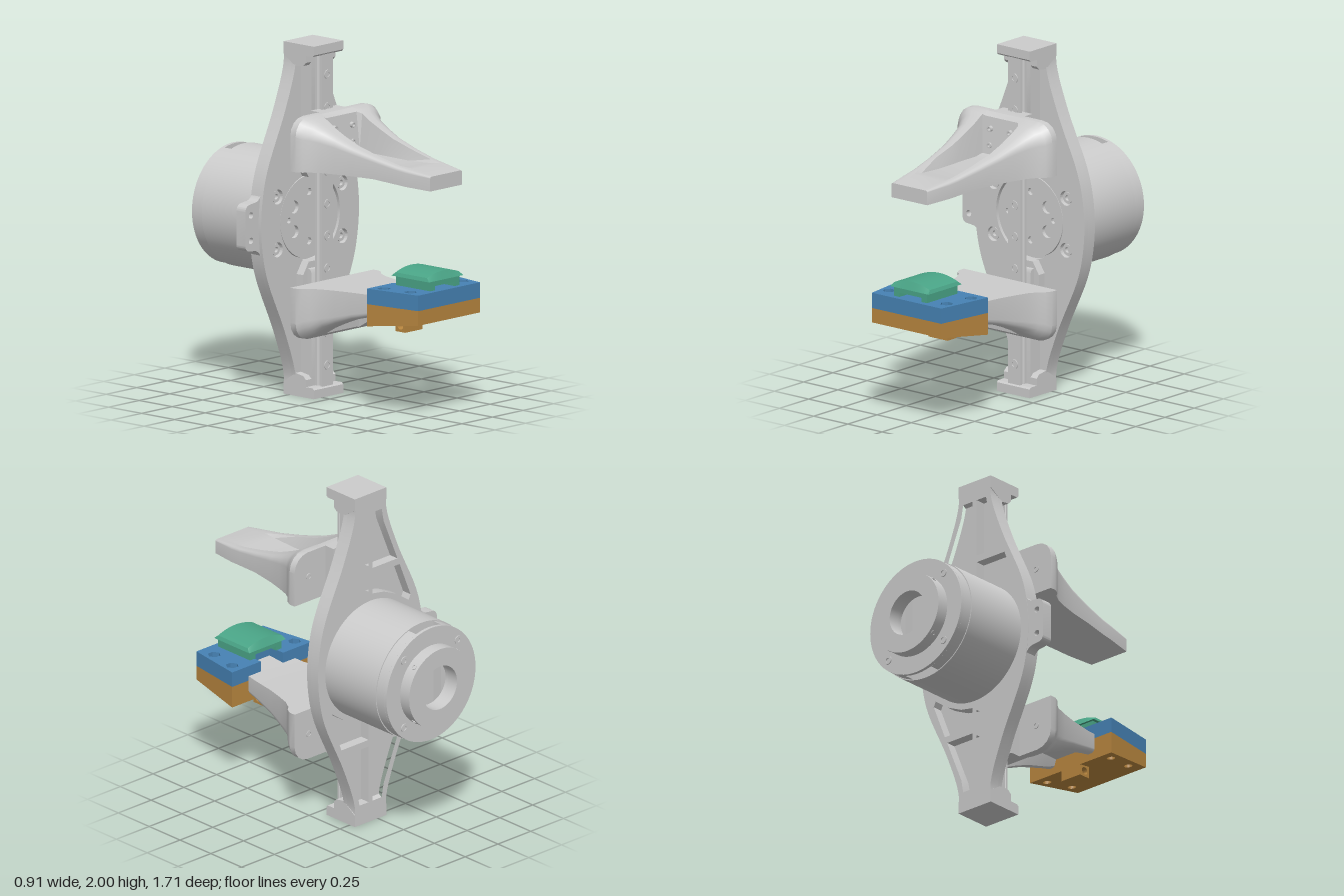
import * as THREE from 'three';
import { toCreasedNormals } from 'three/addons/utils/BufferGeometryUtils.js';

const grey = new THREE.MeshStandardMaterial({ color: 0xcccccc });
const blue = new THREE.MeshStandardMaterial({ color: 0x4682b4 });
const orange = new THREE.MeshStandardMaterial({ color: 0xb8863f });
const green = new THREE.MeshStandardMaterial({ color: 0x4aa587 });

function add(parent, name, geo, mat = grey) {
  const g = geo.index ? geo.toNonIndexed() : geo;
  const mesh = new THREE.Mesh(toCreasedNormals(g, 0.5), mat);
  mesh.name = name;
  parent.add(mesh);
  return mesh;
}
const poly = (pts) => new THREE.Shape(pts.map(([x, y]) => new THREE.Vector2(x, y)));
function disc(r, x = 0, y = 0, hole = 0) {
  const s = new THREE.Shape().absarc(x, y, r, 0, Math.PI * 2);
  if (hole) s.holes.push(new THREE.Path().absarc(x, y, hole, 0, Math.PI * 2));
  return s;
}
const extrude = (shape, depth, seg = 12) =>
  new THREE.ExtrudeGeometry(shape, { depth, bevelEnabled: false, curveSegments: seg });
// slab between two z planes
const slab = (shape, z0, z1, seg) => extrude(shape, z1 - z0, seg).translate(0, 0, z0);
// (z, y) profile swept across x, centred
const sweepX = (pts, w) => extrude(poly(pts), w).rotateY(-Math.PI / 2).translate(w / 2, 0, 0);
// (x, z) plan extruded between two heights
const slabY = (shape, y0, y1) => extrude(shape, y1 - y0).rotateX(Math.PI / 2).translate(0, y1, 0);
const box = (x0, x1, y0, y1, z0, z1) => new THREE.BoxGeometry(x1 - x0, y1 - y0, z1 - z0)
  .translate((x0 + x1) / 2, (y0 + y1) / 2, (z0 + z1) / 2);

// Diamond-shaped outline of the back plate
function plateOutline() {
  const half = [[0.12, 1], [0.12, 0.88], [0.2, 0.64], [0.345, 0.32], [0.383, 0.18], [0.4, 0]];
  const pts = [...half, ...half.slice(0, -1).reverse().map(([x, y]) => [x, -y])];
  const right = new THREE.CatmullRomCurve3(pts.map(([x, y]) => new THREE.Vector3(x, y, 0)), false, 'centripetal')
    .getPoints(60).map((p) => [p.x, p.y]);
  return poly([...right, ...right.map(([x, y]) => [-x, y]).reverse()]);
}

function buildPlate(body) {
  const skin = plateOutline();
  skin.holes.push(disc(0.245));
  for (const x of [-0.265, 0.265]) for (const y of [-0.15, 0.15]) {
    skin.holes.push(disc(0.042, x, y));
    add(body, 'plateBolt', slab(disc(0.032, x, y, 0.016), -0.24, -0.212));
  }
  add(body, 'plateFront', slab(skin, -0.23, -0.2, 32));

  // Ribbed rear with pockets
  const ribs = plateOutline();
  const cells = [
    [[0.015, 0.88], [0.085, 0.88], [0.1, 0.8], [0.165, 0.64], [0.205, 0.54], [0.015, 0.54]],
    [[0.015, 0.5], [0.222, 0.5], [0.305, 0.29], [0.29, 0.26], [0.2, 0.325], [0.1, 0.37], [0.015, 0.385]],
  ];
  for (const cell of cells) for (const sx of [-1, 1]) for (const sy of [-1, 1])
    ribs.holes.push(poly(cell.map(([x, y]) => [x * sx, y * sy])));
  add(body, 'plateRibs', slab(ribs, -0.29, -0.23));

  // Rotor face seen through the plate opening
  const rotor = disc(0.235);
  for (let i = 0; i < 6; i++) {
    const a = (i + 0.5) * Math.PI / 3;
    rotor.holes.push(disc(i % 3 === 1 ? 0.02 : 0.036, 0.14 * Math.cos(a), 0.14 * Math.sin(a)));
  }
  for (const x of [-0.165, 0.165]) rotor.holes.push(disc(0.016, x, 0));
  add(body, 'rotorFace', slab(rotor, -0.23, -0.208, 32));

  // Side ear
  const ear = new THREE.Shape();
  ear.moveTo(-0.3, 0.26);
  ear.lineTo(-0.37, 0.2);
  ear.quadraticCurveTo(-0.39, 0.14, -0.43, 0.14);
  ear.lineTo(-0.47, 0.135);
  ear.quadraticCurveTo(-0.508, 0.13, -0.508, 0.09);
  ear.lineTo(-0.508, -0.09);
  ear.quadraticCurveTo(-0.508, -0.13, -0.47, -0.13);
  ear.lineTo(-0.43, -0.135);
  ear.quadraticCurveTo(-0.39, -0.14, -0.37, -0.2);
  ear.lineTo(-0.3, -0.26);
  for (const y of [-0.072, 0.072]) ear.holes.push(disc(0.018, -0.462, y));
  add(body, 'sideEar', slab(ear, -0.288, -0.22));
}

function buildMotor(body) {
  add(body, 'motorHousing', slab(disc(0.346), -0.7, -0.285, 36));
  // Cap layer split by a vertical slot
  const a = Math.acos(0.095 / 0.34);
  for (const c of [0, Math.PI])
    add(body, 'motorCapHalf', slab(new THREE.Shape().absarc(0, 0, 0.34, c - a, c + a), -0.76, -0.7, 36));
  add(body, 'motorCap', slab(disc(0.34, 0, 0, 0.13), -0.78, -0.76, 36));
  add(body, 'rearCollar', slab(disc(0.235, 0, 0, 0.13), -0.853, -0.78, 32));
  for (let i = 0; i < 4; i++) {
    const t = Math.PI / 4 + i * Math.PI / 2, c = Math.cos(t), s = Math.sin(t);
    add(body, 'capScrew', slab(disc(0.025, 0.29 * c, 0.29 * s, 0.013), -0.786, -0.775));
    add(body, 'collarScrew', slab(disc(0.017, 0, 0, 0.009), 0.22, 0.238).rotateY(Math.PI / 2)
      .rotateZ(t).translate(0, 0, -0.82));
  }
}

// Finger lofted from U-shaped sections: z, half width, top, bottom, corner, pocket half width, floor
function fingerGeometry() {
  const stations = [
    [-0.035, 0.34, 0.63, 0.33, 0.1, 0.14, 0.63], [0.005, 0.34, 0.63, 0.33, 0.1, 0.14, 0.63],
    [0.04, 0.322, 0.615, 0.33, 0.1, 0.14, 0.61], [0.065, 0.293, 0.6, 0.33, 0.09, 0.14, 0.4],
    [0.12, 0.26, 0.567, 0.33, 0.07, 0.14, 0.39], [0.2, 0.235, 0.53, 0.33, 0.05, 0.14, 0.39],
    [0.3, 0.21, 0.49, 0.33, 0.035, 0.137, 0.39], [0.45, 0.185, 0.45, 0.33, 0.025, 0.132, 0.39],
    [0.6, 0.165, 0.418, 0.318, 0.02, 0.125, 0.4], [0.67, 0.158, 0.408, 0.313, 0.018, 0.12, 0.408],
    [0.83, 0.13, 0.388, 0.305, 0.01, 0.1, 0.388],
  ];
  const pos = [], idx = [];
  let n = 0;
  for (const [z, w, t, b, c, p, f] of stations) {
    const right = [[w, b]];
    for (let k = 0; k <= 4; k++) {
      const a = k * Math.PI / 8;
      right.push([w - c + c * Math.cos(a), t - c + c * Math.sin(a)]);
    }
    right.push([p, t], [p - 0.02, f]);
    const ring = [...right, ...right.map(([x, y]) => [-x, y]).reverse()];
    n = ring.length;
    for (const [x, y] of ring) pos.push(x, y, z);
  }
  const last = (stations.length - 1) * n;
  for (let i = 0; i < last; i += n) for (let j = 0; j < n; j++) {
    const a = i + j, b = i + (j + 1) % n;
    idx.push(a, b, a + n, b, b + n, a + n);
  }
  for (let j = 1; j < n - 1; j++) idx.push(0, j + 1, j, last, last + j, last + j + 1);
  const g = new THREE.BufferGeometry();
  g.setAttribute('position', new THREE.Float32BufferAttribute(pos, 3));
  g.setIndex(idx);
  return g;
}

// Everything repeated above and below the motor axis
function buildHalf() {
  const half = new THREE.Group();
  add(half, 'endBlock', sweepX([[-0.29, 0.93], [-0.2, 0.87], [-0.14, 0.88], [-0.12, 0.9], [-0.12, 0.94],
    [-0.07, 0.94], [-0.06, 0.95], [-0.06, 1], [-0.29, 1]], 0.24));
  add(half, 'railSupport', sweepX([[-0.21, 0.27], [-0.13, 0.28], [-0.12, 0.3], [-0.12, 0.9], [-0.21, 0.9]], 0.15));
  add(half, 'supportFoot', slab(poly([[-0.11, 0.38], [-0.11, 0.31], [-0.065, 0.24], [0.065, 0.24],
    [0.11, 0.31], [0.11, 0.38]]), -0.21, -0.15));
  add(half, 'carriage', box(-0.105, 0.105, 0.36, 0.63, -0.1, -0.03));
  add(half, 'finger', fingerGeometry());
  for (const x of [-0.072, 0.072]) for (const y of [0.45, 0.545])
    add(half, 'fingerScrew', slab(disc(0.016, x, y, 0.009), 0.035, 0.066));
  for (const x of [-0.23, 0.23])
    add(half, 'backScrew', slab(disc(0.02, x, 0.48, 0.011), -0.039, -0.03));
  return half;
}

function buildFingertipPad(body) {
  const bolts = [[-0.238, 0.58], [0.238, 0.58], [-0.21, 0.755], [0.21, 0.755]];
  const notched = poly([[-0.303, 0.51], [-0.085, 0.51], [-0.085, 0.62], [0.085, 0.62], [0.085, 0.51],
    [0.303, 0.51], [0.253, 0.853], [-0.253, 0.853]]);
  const plain = poly([[-0.303, 0.51], [0.303, 0.51], [0.253, 0.853], [-0.253, 0.853]]);
  for (const [x, z] of bolts) {
    notched.holes.push(poly([0, 1, 2, 3, 4, 5].map((i) =>
      [x + 0.037 * Math.cos(i * Math.PI / 3), z + 0.037 * Math.sin(i * Math.PI / 3)])));
    plain.holes.push(disc(0.024, x, z));
  }
  add(body, 'upperClamp', slabY(notched, -0.352, -0.264), blue);
  // Lower clamp with a sloping underside
  const lower = slabY(plain, -0.47, -0.352), p = lower.attributes.position;
  for (let i = 0; i < p.count; i++)
    if (p.getY(i) < -0.4) p.setY(i, -0.478 + (p.getZ(i) - 0.51) * 0.125);
  add(body, 'lowerClamp', lower, orange);
  const tab = poly([[0.51, -0.54], [0.585, -0.54], [0.585, -0.455], [0.51, -0.455]]);
  tab.holes.push(disc(0.022, 0.548, -0.505));
  add(body, 'clampTab', extrude(tab, 0.14).rotateY(-Math.PI / 2).translate(0.07, 0, 0), orange);

  // Sensor pad: two legs, a tray and a domed cap
  for (const s of [-1, 1])
    add(body, 'padLeg', box(s * 0.1 - 0.02, s * 0.1 + 0.02, -0.266, -0.24, 0.56, 0.82), green);
  add(body, 'padTray', box(-0.12, 0.12, -0.24, -0.205, 0.56, 0.82), green);
  const cap = new THREE.BoxGeometry(0.28, 0.045, 0.285, 16, 1, 4), q = cap.attributes.position;
  for (let i = 0; i < q.count; i++) if (q.getY(i) > 0) {
    const u = q.getX(i) / 0.14;
    q.setXYZ(i, q.getX(i) * 0.93, 0.0225 - 0.025 * u * u, q.getZ(i) * 0.84);
  }
  add(body, 'padCap', cap.translate(0, -0.187, 0.688), green);
}

export function createModel() {
  const model = new THREE.Group();
  model.name = 'gripper';
  const body = new THREE.Group();
  body.name = 'gripperBody';
  body.position.set(0.054, 1, 0);
  model.add(body);

  buildPlate(body);
  buildMotor(body);

  // Grooved guide rail with screws
  const rail = poly([[-0.045, -0.12], [0.045, -0.12], [0.045, -0.105], [0.033, -0.098], [0.033, -0.088],
    [0.045, -0.081], [0.045, -0.068], [-0.045, -0.068], [-0.045, -0.081], [-0.033, -0.088],
    [-0.033, -0.098], [-0.045, -0.105]]);
  add(body, 'guideRail', slabY(rail, -0.95, 0.95));
  for (const y of [0.09, 0.275, 0.64, 0.825]) for (const s of [-1, 1])
    add(body, 'railScrew', slab(disc(0.027, 0, y * s, 0.014), -0.075, -0.063));

  const upper = buildHalf(), lower = buildHalf();
  upper.name = 'upperHalf';
  lower.name = 'lowerHalf';
  lower.rotation.z = Math.PI;
  body.add(upper, lower);

  buildFingertipPad(body);
  return model;
}
